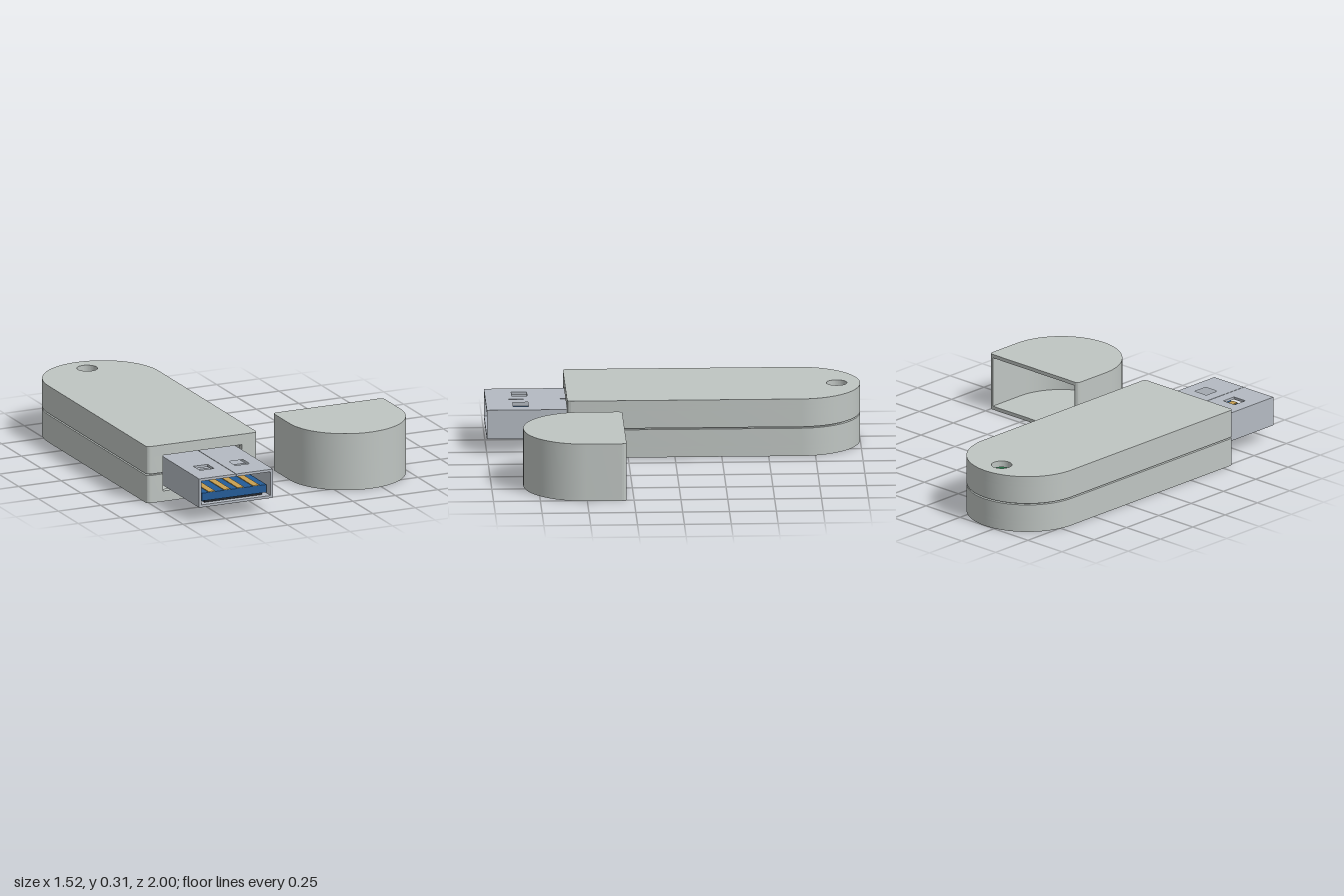
import * as THREE from 'three';
import { toCreasedNormals } from 'three/addons/utils/BufferGeometryUtils.js';

const H = 0.315, W = 0.325, CORNER = 0.025;

export function createModel() {
  const root = new THREE.Group();
  const mat = (color) => new THREE.MeshStandardMaterial({ color });
  const casing = mat(0xbfc5c2), metal = mat(0xb4bac2), blue = mat(0x235c98);
  const gold = mat(0xc9a050), green = mat(0x1f6a40), dark = mat(0x23262c);

  const group = (name, x = 0, z = 0) => {
    const g = new THREE.Group();
    g.name = name;
    g.position.set(x, 0, z);
    root.add(g);
    return g;
  };

  // Extrude a plan shape (x, -z) upward from y0 to y1
  const slab = (parent, name, shape, y0, y1, material) => {
    const geo = new THREE.ExtrudeGeometry(shape, { depth: y1 - y0, bevelEnabled: false, curveSegments: 32 });
    geo.rotateX(-Math.PI / 2).translate(0, y0, 0);
    const mesh = new THREE.Mesh(toCreasedNormals(geo, 0.5), material);
    mesh.name = name;
    parent.add(mesh);
  };

  const box = (parent, name, x0, x1, y0, y1, z0, z1, material) => {
    const mesh = new THREE.Mesh(new THREE.BoxGeometry(x1 - x0, y1 - y0, z1 - z0), material);
    mesh.name = name;
    mesh.position.set((x0 + x1) / 2, (y0 + y1) / 2, (z0 + z1) / 2);
    parent.add(mesh);
  };

  // Outline with one round end (centred on the origin) and one flat end at -L
  const roundEnd = (path, w, L, c) => path
    .lineTo(w - c, -L).quadraticCurveTo(w, -L, w, -L + c)
    .lineTo(w, 0).absarc(0, 0, w, 0, Math.PI, false)
    .lineTo(-w, -L + c).quadraticCurveTo(-w, -L, -w + c, -L);

  const plate = (w, L, holes = []) => {
    const s = new THREE.Shape();
    roundEnd(s.moveTo(0, -L) || s, w, L, CORNER).closePath();
    for (const [y, r] of holes) s.holes.push(new THREE.Path().absarc(0, y, r, 0, Math.PI * 2, true));
    return s;
  };

  // Wall of thickness t, with its flat end open between -n and n
  const openWall = (w, L, t, n) => {
    const s = new THREE.Shape(), wi = w - t;
    s.moveTo(n, -L);
    roundEnd(s, w, L, CORNER);
    s.lineTo(-n, -L).lineTo(-n, -L + t).lineTo(-wi, -L + t).lineTo(-wi, 0);
    s.absarc(0, 0, wi, Math.PI, 0, true);
    s.lineTo(wi, -L + t).lineTo(n, -L + t).closePath();
    return s;
  };

  // Body: two hollow halves with a thin seam
  const CX = -0.4375, L = 1.25, T = 0.035;
  const body = group('body', CX, -0.675);
  const closedWall = plate(W, L);
  closedWall.holes.push(plate(W - T, L - T));
  const lanyard = [0.2, 0.055];
  for (const top of [false, true]) {
    const half = top ? 'upper' : 'lower';
    const layer = (name, shape, a, b) =>
      slab(body, half + name, shape, top ? H - b : a, top ? H - a : b, casing);
    layer('Plate', plate(W, L, top ? [lanyard] : [lanyard, [-0.93, 0.085]]), 0, T);
    layer('Rim', closedWall, T, 0.058);
    layer('Wall', openWall(W, L, T, 0.232), 0.058, 0.1535);
  }
  slab(body, 'innerLip', openWall(W - 0.018, L - 0.018, 0.017, 0.232), 0.145, 0.17, casing);
  slab(body, 'circuitBoard', plate(W - 0.037, L - 0.05, [lanyard]), 0.148, 0.167, green);

  // Connector: folded metal sleeve with four latch windows
  const plug = group('connector', CX);
  const HW = 0.2175, Y0 = 0.08, Y1 = 0.24, Z0 = 0.35, Z1 = 1, M = 0.014;
  for (const side of [-1, 1]) {
    const rect = (path, a, b, z0, z1) => path
      .moveTo(side * a, -z0) && path.lineTo(side * b, -z0).lineTo(side * b, -z1).lineTo(side * a, -z1).closePath();
    for (const [name, y, gap] of [['sleeveTop', Y1 - M, 0.0015], ['sleeveBottom', Y0, 0]]) {
      const s = new THREE.Shape();
      rect(s, gap, HW, Z0, Z1);
      const win = new THREE.Path();
      rect(win, 0.0625, 0.146, 0.775, 0.857);
      s.holes.push(win);
      slab(plug, name, s, y, y + M, metal);
    }
    const xs = [side * HW, side * (HW - M)].sort((a, b) => a - b);
    box(plug, 'sleeveSide', ...xs, Y0 + M, Y1 - M, Z0, Z1, metal);
  }
  box(plug, 'rearBlock', -HW + M, HW - M, Y0 + M, Y1 - M, Z0, 0.6, metal);
  box(plug, 'tongue', -0.19, 0.19, 0.107, 0.15, 0.6, 0.975, blue);
  box(plug, 'tongueBase', -0.17, 0.17, Y0 + M, 0.107, 0.6, 0.965, dark);
  box(plug, 'leafSpring', -0.185, 0.185, 0.193, 0.2, 0.6, 0.72, metal);
  for (const x of [-0.13, -0.04, 0.04, 0.13]) {
    box(plug, 'contact', x - 0.019, x + 0.019, 0.15, 0.154, 0.68, 0.974, gold);
  }

  // Cap: hollow cover lying beside the body, open toward the back
  const cap = group('cap', 0.4345, 0.505);
  cap.rotation.y = Math.PI;
  const CL = 0.215, CT = 0.025;
  slab(cap, 'capFloor', plate(W, CL), 0, 0.02, casing);
  slab(cap, 'capWall', openWall(W, CL, CT, W - CT), 0.02, H - 0.02, casing);
  slab(cap, 'capRoof', plate(W, CL), H - 0.02, H, casing);

  return root;
}
